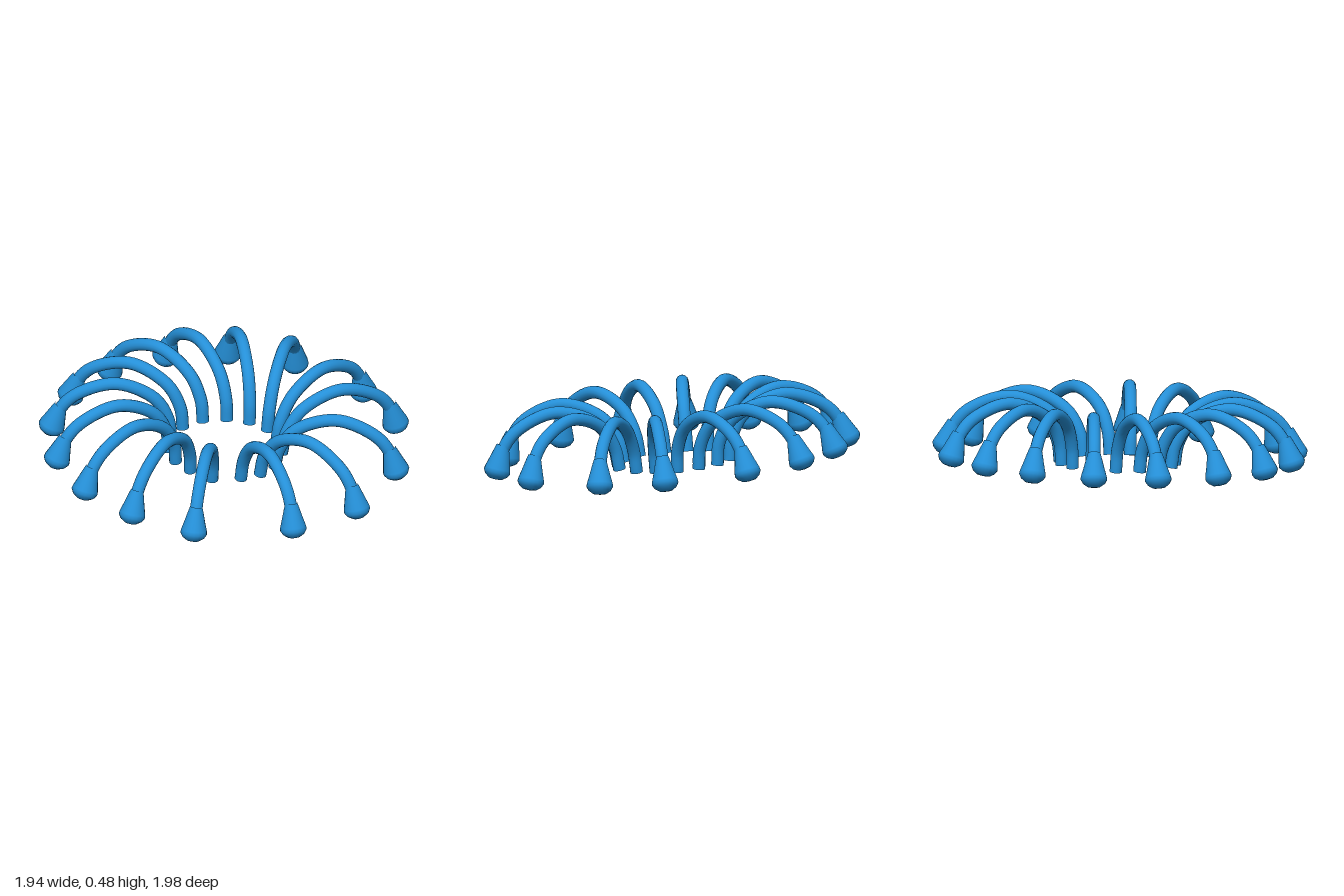
import * as THREE from 'three';

const TILT = 0.087;
const TUBE_R = 0.033;

// Each arm: root x, root z, bulb x, bulb z
const ARMS = [
  [0.27, 0.095, 0.895, 0.22], [0.2, 0.23, 0.65, 0.69], [0.07, 0.275, 0.335, 0.86],
  [-0.045, 0.285, 0.005, 0.925], [-0.16, 0.245, -0.33, 0.86], [-0.25, 0.165, -0.62, 0.68],
  [-0.3, 0.05, -0.825, 0.405], [-0.3, -0.08, -0.92, 0.08], [-0.245, -0.195, -0.885, -0.26],
  [-0.155, -0.275, -0.735, -0.555], [-0.045, -0.31, -0.47, -0.8], [0.07, -0.285, -0.045, -0.935],
  [0.175, -0.24, 0.305, -0.885], [0.275, -0.12, 0.695, -0.6], [0.29, -0.015, 0.91, -0.185],
];

// Arch profile: fraction of the way from root to bulb, height
const ARCH = [[0, 0.085], [0.03, 0.2], [0.16, 0.325], [0.48, 0.402], [0.8, 0.33], [0.93, 0.235], [0.985, 0.12]];

// Flared bulb, tip at the origin, neck along +y
const bulbProfile = [[0, 0], [0.034, 0.004], [0.058, 0.021], [0.07, 0.042], [0.067, 0.06], [0.054, 0.105], [0.042, 0.15], [0.032, 0.185]]
  .map(([r, y]) => new THREE.Vector2(r, y));

export function createModel() {
  const model = new THREE.Group();
  model.name = 'archedArms';
  const material = new THREE.MeshStandardMaterial({ color: 0x2590d8 });
  const bulbGeometry = new THREE.LatheGeometry(bulbProfile, 20);
  const capGeometry = new THREE.CircleGeometry(TUBE_R, 14);
  const up = new THREE.Vector3(0, 1, 0);

  const add = (parent, geometry, name) => {
    const mesh = new THREE.Mesh(geometry, material);
    mesh.name = name;
    parent.add(mesh);
    return mesh;
  };

  for (const [rx, rz, bx, bz] of ARMS) {
    const arm = new THREE.Group();
    arm.name = 'arm';
    // Shift in x makes up for the lean of the whole ring
    const root = new THREE.Vector3(rx - 0.015, 0, rz);
    const end = new THREE.Vector3(bx - 0.01, 0, bz);
    const at = (t, y) => root.clone().lerp(end, t).setY(y);

    // Arched stem
    const curve = new THREE.CatmullRomCurve3(ARCH.map(([t, y]) => at(t, y)));
    add(arm, new THREE.TubeGeometry(curve, 36, TUBE_R, 14), 'stem');

    // Flat end at the root
    const cap = add(arm, capGeometry, 'rootCap');
    cap.position.copy(curve.getPoint(0));
    cap.quaternion.setFromUnitVectors(new THREE.Vector3(0, 0, 1), curve.getTangent(0).negate());

    // Bulb hanging from the outer end
    const bulb = add(arm, bulbGeometry, 'bulb');
    const tip = at(1.01, 0.09);
    bulb.position.copy(tip);
    bulb.quaternion.setFromUnitVectors(up, at(0.93, 0.25).sub(tip).normalize());
    model.add(arm);
  }

  // The whole ring leans down toward +x
  model.rotation.z = -TILT;
  const group = new THREE.Group();
  group.name = 'ring';
  group.add(model);
  group.updateMatrixWorld(true);
  model.position.y -= new THREE.Box3().setFromObject(group, true).min.y;
  return group;
}
